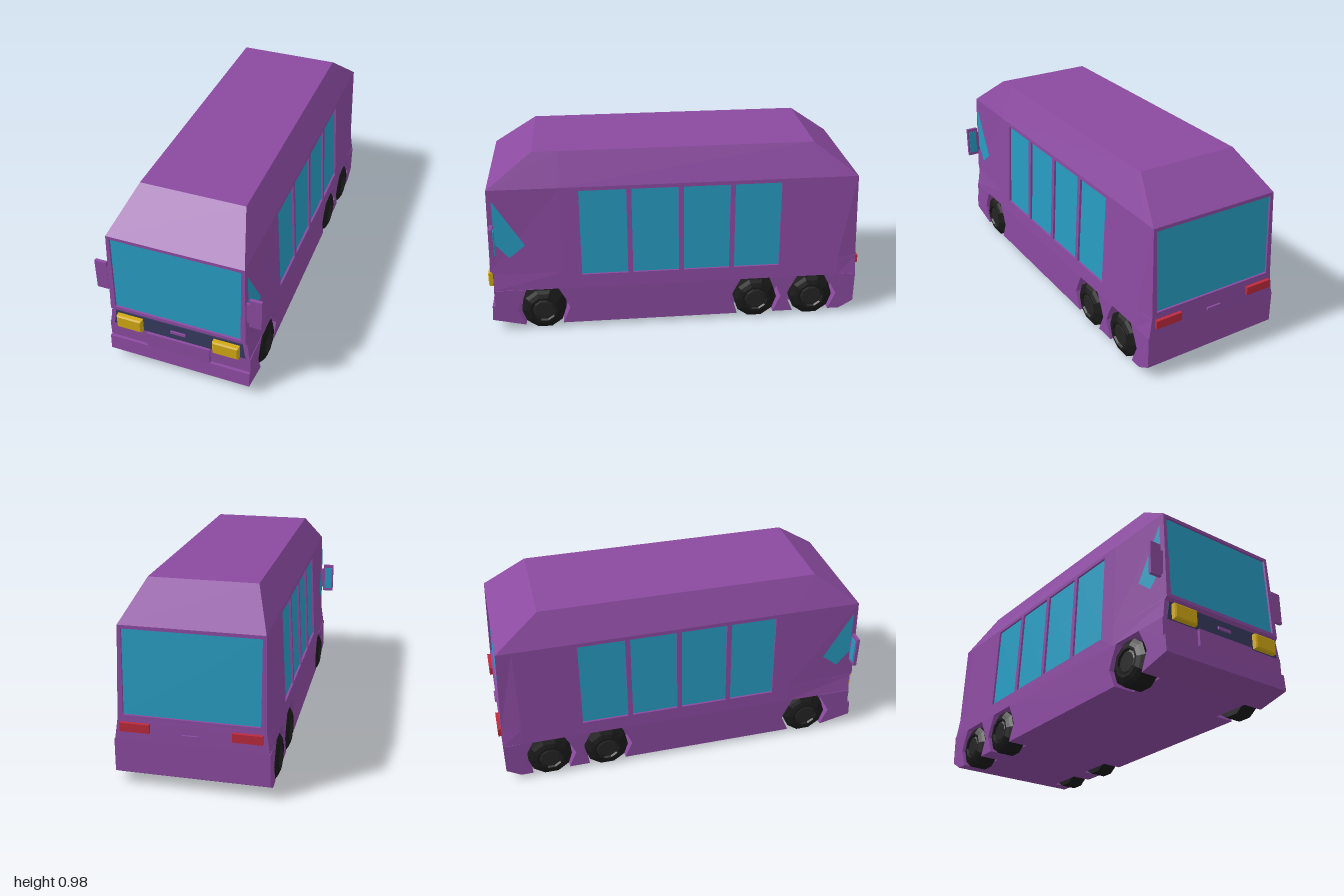
import * as THREE from 'three';

const paint = (name, color) => Object.assign(new THREE.MeshStandardMaterial({ color }), { name });

export function createModel() {
  const bus = new THREE.Group();
  bus.name = 'bus';
  const purple = paint('body purple', 0x8b4aa0);
  const glass = paint('window blue', 0x279bc0);
  const navy = paint('grille navy', 0x363a5e);
  const gold = paint('headlight gold', 0xd0a812);
  const red = paint('tail light red', 0xba2a3c);
  const black = paint('tyre black', 0x191919);
  const grey = paint('hub grey', 0x242424);

  // Flat-faced mesh
  const add = (name, geo, mat) => {
    const g = geo.index ? geo.toNonIndexed() : geo;
    g.computeVertexNormals();
    const mesh = new THREE.Mesh(g, mat);
    mesh.name = name;
    bus.add(mesh);
  };
  // Copy reflected in x, with corner order restored
  const mirrored = (geo) => {
    const g = geo.index ? geo.toNonIndexed() : geo.clone();
    g.scale(-1, 1, 1);
    const p = g.attributes.position;
    for (let i = 0; i < p.count; i += 3) {
      const b = [p.getX(i + 1), p.getY(i + 1), p.getZ(i + 1)];
      p.setXYZ(i + 1, p.getX(i + 2), p.getY(i + 2), p.getZ(i + 2));
      p.setXYZ(i + 2, ...b);
    }
    return g;
  };
  const addPair = (name, geo, mat) => {
    add(name + 'Left', geo, mat);
    add(name + 'Right', mirrored(geo), mat);
  };
  const shapeOf = (pts) => new THREE.Shape(pts.map((p) => new THREE.Vector2(...p)));
  const box = (x0, x1, y0, y1, z0, z1) =>
    new THREE.BoxGeometry(x1 - x0, y1 - y0, z1 - z0)
      .translate((x0 + x1) / 2, (y0 + y1) / 2, (z0 + z1) / 2);
  const rect = (u0, u1, v0, v1) => [[u0, v0], [u1, v0], [u1, v1], [u0, v1]];

  // Lower body: (z, y) profiles extruded across x, with stepped bumper corners and wheel arches
  const axles = [-0.745, -0.435, 0.715];
  const lowerProfile = (stepped, arches) => {
    const pts = [[-0.985, 0.24], [-0.985, 0.07], [-0.91, 0.025]];
    if (arches) {
      for (const z of axles) {
        for (const [dz, y] of [[-0.1, 0.025], [-0.14, 0.12], [-0.12, 0.17], [-0.085, 0.2395],
          [0.085, 0.2395], [0.12, 0.17], [0.14, 0.12], [0.1, 0.025]]) pts.push([z + dz, y]);
      }
    }
    pts.push([0.82, 0.025], [0.99, 0.065], [0.985, 0.15]);
    if (stepped) pts.push([0.97, 0.15], [0.97, 0.24]);
    else pts.push([0.985, 0.24]);
    return shapeOf(pts);
  };
  const slab = (shape, x0, x1) =>
    new THREE.ExtrudeGeometry(shape, { depth: x1 - x0, bevelEnabled: false })
      .rotateY(-Math.PI / 2).translate(x1, 0, 0);
  add('lowerBodyCentre', slab(lowerProfile(false, false), -0.17, 0.17), purple);
  addPair('lowerBodyInner', slab(lowerProfile(true, false), 0.17, 0.27), purple);
  addPair('lowerBodyArches', slab(lowerProfile(true, true), 0.27, 0.38), purple);

  // Upper body: eight-point rings [y, front half width, front z, middle half width, rear half width, rear z]
  const midX = (y) => 0.3926 - 0.0526 * y;
  const levels = [
    [0.24, 0.376, 0.97, midX(0.24), 0.376, -0.985],
    [0.335, 0.362, 0.967, midX(0.335), 0.362, -0.982],
    [0.35, 0.36, 0.982, midX(0.35), 0.36, -0.981],
    [0.81, 0.35, 0.967, midX(0.81), 0.35, -0.96],
    [0.98, 0.27, 0.73, 0.27, 0.27, -0.73],
  ];
  const rings = levels.map(([y, wf, zf, wm, wb, zb]) => {
    const half = [[wf, y, zf], [wm, y, 0.6], [wm, y, Math.max(-0.88, zb + 0.03)], [wb, y, zb]];
    return [...half, ...half.map(([x, h, z]) => [-x, h, z]).reverse()];
  });
  const verts = [];
  const quad = (a, b, c, d) => verts.push(...a, ...b, ...c, ...a, ...c, ...d);
  for (let l = 0; l < 4; l++) {
    for (let i = 0; i < 8; i++) {
      const sideWall = (i === 1 || i === 5) && l < 3;
      const endWall = (i === 3 || i === 7) && l === 2;
      if (sideWall || endWall) continue; // filled by the window walls
      const j = (i + 1) % 8;
      quad(rings[l][i], rings[l][j], rings[l + 1][j], rings[l + 1][i]);
    }
  }
  const roof = rings[4];
  quad(roof[0], roof[3], roof[4], roof[7]);
  const shell = new THREE.BufferGeometry();
  shell.setAttribute('position', new THREE.Float32BufferAttribute(verts, 3));
  add('upperBody', shell, purple);

  // Sloping walls with recessed panes; distance along the outward axis is c + s * y
  const windowWall = (outline, holes, u, w, c, s) => {
    const depth = 0.012;
    const v = new THREE.Vector3(0, 1, 0).addScaledVector(w, s);
    const m = new THREE.Matrix4().makeBasis(u, v, w).setPosition(w.clone().multiplyScalar(c - depth));
    const shape = shapeOf(outline);
    shape.holes = holes.map(shapeOf);
    return {
      wall: new THREE.ExtrudeGeometry(shape, { depth, bevelEnabled: false }).applyMatrix4(m),
      panes: holes.map((h) => new THREE.ShapeGeometry(shapeOf(h)).translate(0, 0, 0.001).applyMatrix4(m)),
    };
  };
  const V = (x, y, z) => new THREE.Vector3(x, y, z);
  const endOutline = [[-0.36, 0.35], [0.36, 0.35], [0.35, 0.81], [-0.35, 0.81]];
  const endHole = rect(-0.333, 0.333, 0.368, 0.793);
  const front = windowWall(endOutline, [endHole], V(1, 0, 0), V(0, 0, 1), 0.9934, -0.0326);
  add('windscreenFrame', front.wall, purple);
  add('windscreen', front.panes[0], glass);
  const rear = windowWall(endOutline, [endHole], V(-1, 0, 0), V(0, 0, -1), 0.997, -0.0457);
  add('rearWindowFrame', rear.wall, purple);
  add('rearWindow', rear.panes[0], glass);
  const sideHoles = [0, 1, 2, 3].map((i) => rect(-0.503 + i * 0.271, -0.258 + i * 0.271, 0.315, 0.79));
  const side = windowWall(rect(-0.6, 0.88, 0.24, 0.81), sideHoles, V(0, 0, -1), V(1, 0, 0), 0.3926, -0.0526);
  addPair('sideWall', side.wall, purple);
  side.panes.forEach((p, i) => addPair('sideWindow' + (i + 1), p, glass));

  // Cab side windows follow the tapering front corner
  const cab = new THREE.ShapeGeometry(shapeOf([[-0.945, 0.51], [-0.875, 0.43], [-0.79, 0.5], [-0.945, 0.755]]));
  cab.rotateY(Math.PI / 2);
  const cp = cab.attributes.position;
  for (let i = 0; i < cp.count; i++) {
    const y = cp.getY(i);
    const frontX = 0.36 - 0.0217 * (y - 0.35);
    const t = (cp.getZ(i) - 0.6) / 0.375;
    cp.setX(i, THREE.MathUtils.lerp(midX(y), frontX, t) + 0.005);
  }
  addPair('cabWindow', cab, glass);

  // Door mirrors
  addPair('mirror', box(0.37, 0.432, 0.457, 0.628, 0.945, 0.962), purple);
  addPair('mirrorArm', box(0.345, 0.372, 0.48, 0.6, 0.948, 0.96), purple);
  addPair('mirrorGlass', box(0.38, 0.423, 0.475, 0.61, 0.941, 0.946), glass);

  // Grille, badge bars and lights
  const grille = shapeOf([[-0.354, 0.24], [0.354, 0.24], [0.338, 0.333], [-0.338, 0.333]]);
  add('grille', new THREE.ExtrudeGeometry(grille, { depth: 0.005, bevelEnabled: false }).translate(0, 0, 0.967), navy);
  add('frontBar', box(-0.04, 0.04, 0.28, 0.295, 0.968, 0.98), purple);
  add('rearBar', box(-0.04, 0.04, 0.28, 0.295, -0.993, -0.98), purple);
  const lamp = new THREE.ExtrudeGeometry(shapeOf(rect(0.197, 0.319, 0.251, 0.314)),
    { depth: 0.022, bevelSize: 0.007, bevelThickness: 0.006, bevelSegments: 1 }).translate(0, 0, 0.972);
  addPair('headlight', lamp, gold);
  addPair('tailLight', box(0.2, 0.345, 0.29, 0.334, -1, -0.975), red);

  // Ten-sided wheels on three axles
  const turned = (pts) => new THREE.LatheGeometry(pts.map((p) => new THREE.Vector2(...p)), 10).rotateZ(-Math.PI / 2);
  for (const z of axles) {
    addPair('tyre', turned([[0, 0.275], [0.118, 0.275], [0.118, 0.368], [0.1, 0.38], [0.078, 0.39], [0.066, 0.39],
      [0.06, 0.38]]).translate(0, 0.113, z), black);
    addPair('hub', turned([[0.062, 0.379], [0.05, 0.385], [0, 0.385]]).translate(0, 0.113, z), grey);
  }
  return bus;
}
